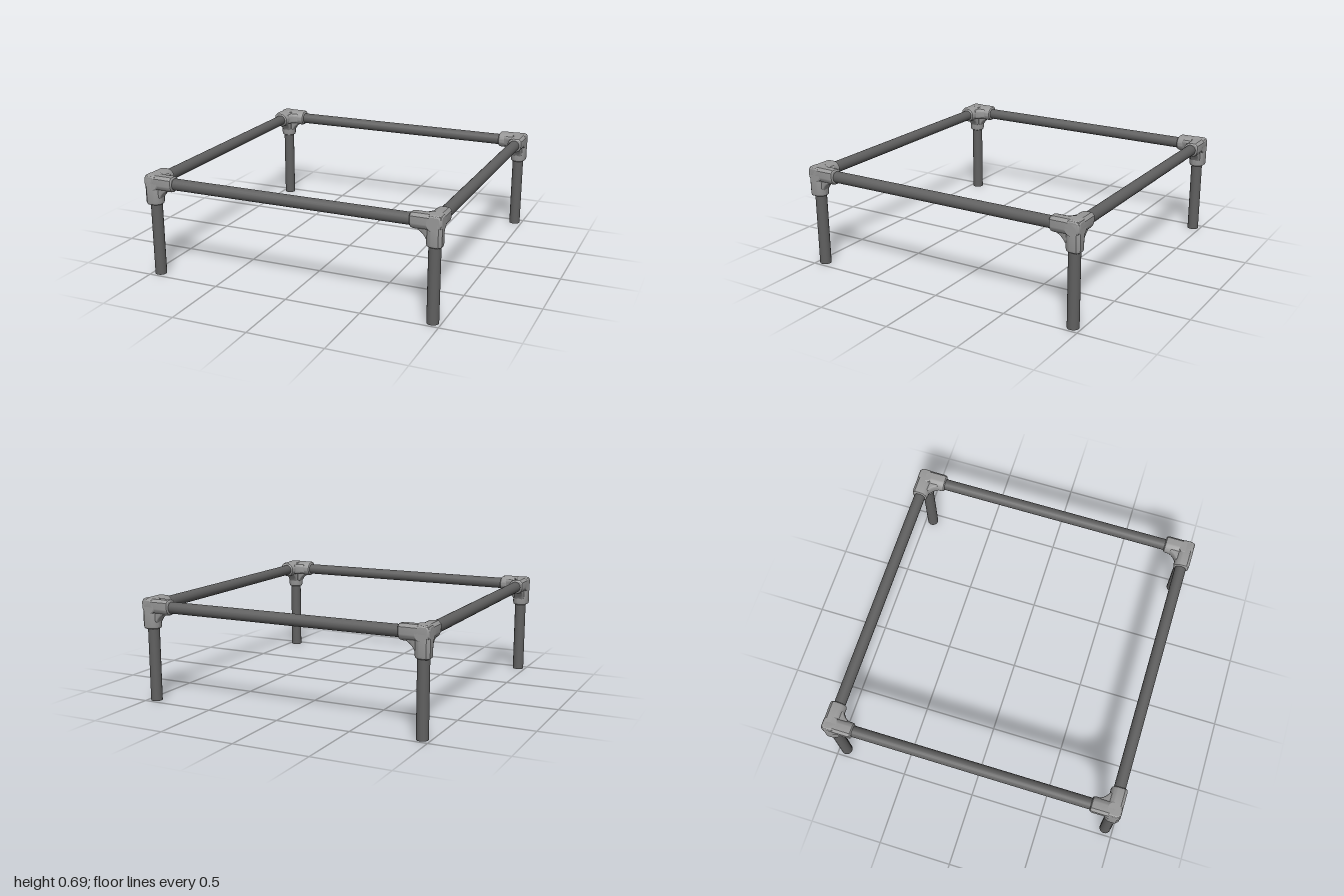
import * as THREE from 'three';
import { mergeGeometries, toCreasedNormals } from 'three/addons/utils/BufferGeometryUtils.js';

const C = 0.947;      // pipe axis distance from the centre
const H = 0.632;      // rail axis height
const R = 0.053;      // fitting radius
const PIPE = 0.038;   // pipe radius
const REACH = 0.2;    // full length of a fitting arm

const pipeMat = new THREE.MeshStandardMaterial({ color: 0x606060 });
const fittingMat = new THREE.MeshStandardMaterial({ color: 0x999999 });

// One socket arm along -z: round inside, square with a chamfer on the outer corner
function armGeometry() {
  const cut = 0.018, bevel = 0.012, slope = 0.02;
  const s = new THREE.Shape();
  s.moveTo(R, 0);
  s.lineTo(R, R - cut);
  s.lineTo(R - cut, R);
  s.lineTo(0, R);
  s.absarc(0, 0, R, Math.PI / 2, Math.PI * 2, false);
  const g = new THREE.ExtrudeGeometry(s, {
    depth: REACH - 2 * slope, curveSegments: 18,
    bevelThickness: slope, bevelSize: bevel, bevelOffset: -bevel, bevelSegments: 2,
  });
  return g.translate(0, 0, R - REACH + slope);
}

// Curved web filling the inner angle between the -x and -y arms
function webGeometry() {
  const a = 0.095, b = 0.045;
  const s = new THREE.Shape();
  s.moveTo(0, 0);
  s.lineTo(-a, 0);
  s.lineTo(-a, -b);
  s.quadraticCurveTo(-0.062, -0.062, -b, -a);
  s.lineTo(0, -a);
  s.closePath();
  const g = new THREE.ExtrudeGeometry(s, {
    depth: 0.03, curveSegments: 6,
    bevelThickness: 0.02, bevelSize: 0.012, bevelOffset: -0.004, bevelSegments: 4,
  });
  return g.translate(0, 0, -0.015);
}

// Three-way corner: arm and web repeated by cycling the axes
function fittingGeometry() {
  const X = new THREE.Vector3(1, 0, 0), Y = new THREE.Vector3(0, 1, 0), Z = new THREE.Vector3(0, 0, 1);
  const parts = [];
  for (const axes of [[X, Y, Z], [Y, Z, X], [Z, X, Y]]) {
    const m = new THREE.Matrix4().makeBasis(...axes);
    parts.push(armGeometry().applyMatrix4(m), webGeometry().applyMatrix4(m));
  }
  return mergeGeometries(parts.map((p) => toCreasedNormals(p, 0.6)));
}

export function createModel() {
  const model = new THREE.Group();
  model.name = 'pipeFrame';
  const fitting = fittingGeometry();
  const legGeo = new THREE.CylinderGeometry(PIPE, PIPE, H, 24).translate(0, H / 2, 0);
  const railGeo = new THREE.CylinderGeometry(PIPE, PIPE, 2 * C, 24).rotateZ(Math.PI / 2);
  const corners = ['frontLeft', 'backLeft', 'backRight', 'frontRight'];
  const sides = ['front', 'left', 'back', 'right'];

  // Each quarter turn adds a corner with its leg and one rail
  for (let i = 0; i < 4; i++) {
    const quarter = new THREE.Group();
    quarter.name = corners[i] + 'Quarter';
    quarter.rotation.y = i * Math.PI / 2;
    const add = (geo, mat, name, x, y) => {
      const mesh = new THREE.Mesh(geo, mat);
      mesh.name = name;
      mesh.position.set(x, y, C);
      quarter.add(mesh);
    };
    add(fitting, fittingMat, corners[i] + 'Fitting', C, H);
    add(legGeo, pipeMat, corners[i] + 'Leg', C, 0);
    add(railGeo, pipeMat, sides[i] + 'Rail', 0, H);
    model.add(quarter);
  }
  return model;
}
